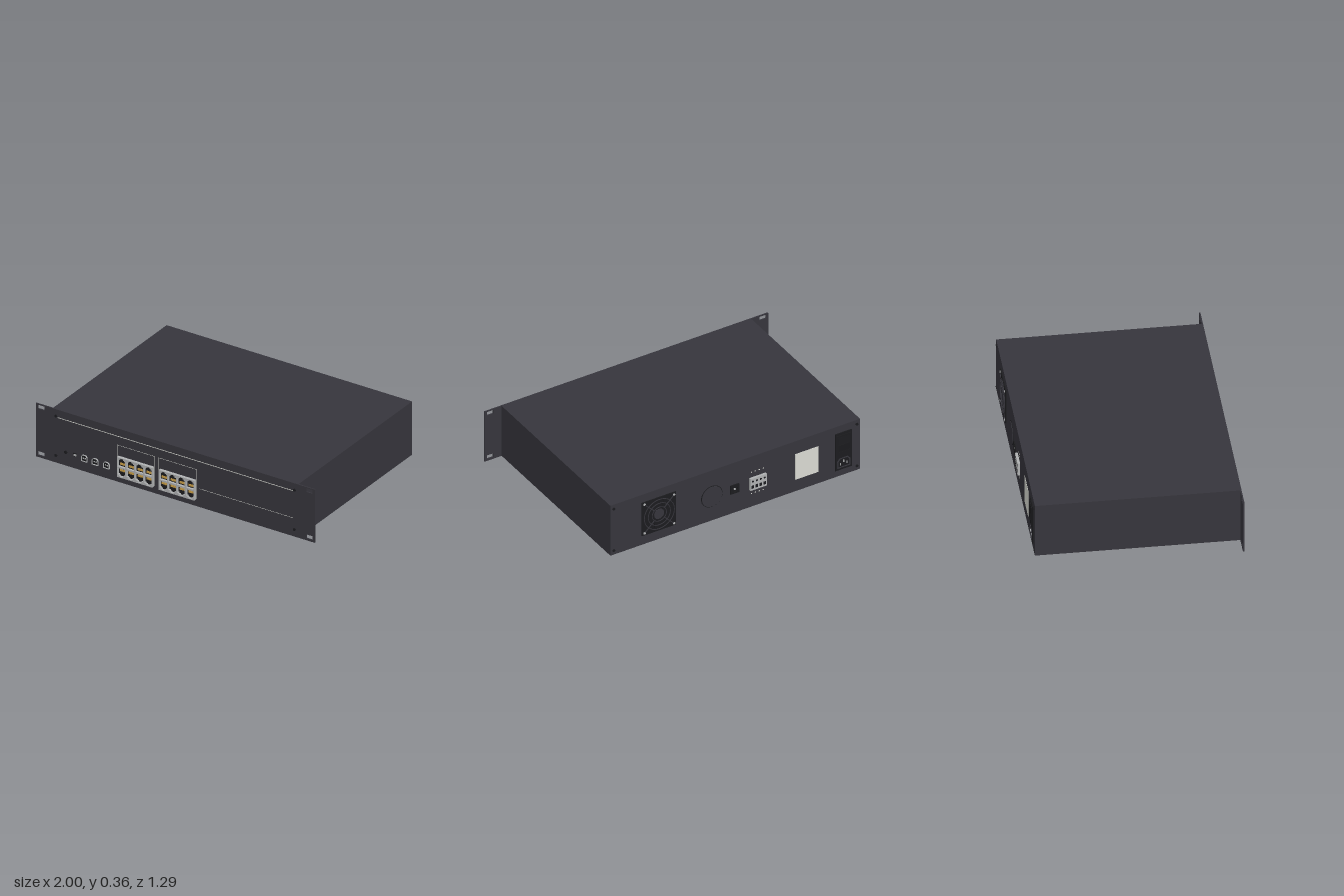
import * as THREE from 'three';

const mat = (name, color) => Object.assign(new THREE.MeshStandardMaterial({ color }), { name });

export function createModel() {
  const root = new THREE.Group();
  root.name = 'rackUnit';
  const housing = mat('charcoal housing', 0x36353c);
  const black = mat('black plastic', 0x1b1b1e);
  const silver = mat('silver metal', 0xb0b2b3);
  const white = mat('white print', 0xd9dad2);
  const gold = mat('gold contacts', 0xc49a45);

  const W = 2, H = 0.363, FRONT = 0.625, BACK = 0.627;

  // Helpers: everything takes a centre x, y and the z where the part starts
  const add = (parent, name, geo, material, x = 0, y = 0, z = 0) => {
    const m = new THREE.Mesh(geo, material);
    m.name = name;
    m.position.set(x, y, z);
    parent.add(m);
    return m;
  };
  const box = (parent, name, m, x, y, z, w, h, d) =>
    add(parent, name, new THREE.BoxGeometry(w, h, d), m, x, y, z + d / 2);
  const disc = (parent, name, m, x, y, z, r, d, seg = 32) =>
    add(parent, name, new THREE.CylinderGeometry(r, r, d, seg).rotateX(Math.PI / 2), m, x, y, z + d / 2);
  const pts = (list) => list.map(([x, y]) => new THREE.Vector2(x, y));
  const rect = (x, y, w, h) => pts([
    [x - w / 2, y - h / 2], [x + w / 2, y - h / 2], [x + w / 2, y + h / 2], [x - w / 2, y + h / 2]]);
  const plate = (parent, name, m, outline, holes, z, depth, x = 0, y = 0) => {
    const s = new THREE.Shape(outline);
    holes.forEach((h) => s.holes.push(new THREE.Path(h)));
    return add(parent, name,
      new THREE.ExtrudeGeometry(s, { depth, bevelEnabled: false, curveSegments: 24 }), m, x, y, z);
  };
  const circle = (r, n = 40) => Array.from({ length: n }, (_, i) =>
    new THREE.Vector2(r * Math.cos(i / n * Math.PI * 2), r * Math.sin(i / n * Math.PI * 2)));

  // Case and front panel with slotted rack ears
  box(root, 'case', housing, 0, H / 2, -BACK, 1.76, H, BACK + FRONT - 0.008);
  const slots = [];
  for (const x of [-0.962, 0.962]) for (const y of [0.027, H - 0.02]) slots.push(rect(x, y, 0.046, 0.026));
  plate(root, 'frontPanel', housing, rect(0, H / 2, W, H), slots, FRONT - 0.008, 0.008);

  const front = new THREE.Group();
  front.name = 'frontDetails';
  front.position.z = FRONT;
  root.add(front);

  // Printed lines
  const line = (x0, y0, x1, y1, t = 0.003) => box(front, 'printedLine', white,
    (x0 + x1) / 2, (y0 + y1) / 2, 0, Math.max(x1 - x0, t), Math.max(y1 - y0, t), 0.001);
  line(-0.845, 0.31, 0.845, 0.31, 0.004);
  line(0.175, 0.125, 0.845, 0.125, 0.002);
  for (const [a, b] of [[-0.417, -0.148], [-0.118, 0.151]]) {
    line(a, 0.25, b, 0.25, 0.002);
    line(a, 0.05, a, 0.25);
    line(b, 0.05, b, 0.25);
  }

  // Panel screws
  for (const x of [-0.855, 0.855]) for (const y of [0.05, 0.318])
    disc(front, 'panelScrew', black, x, y, 0, 0.009, 0.006, 16);

  // Network socket banks, four by two
  const cellW = 0.0635, cellH = 0.0675;
  const socketHole = (cx, cy, s) => pts([
    [-0.027, -0.028], [0.027, -0.028], [0.027, 0.014], [0.019, 0.014], [0.019, 0.021], [0.011, 0.021],
    [0.011, 0.028], [-0.011, 0.028], [-0.011, 0.021], [-0.019, 0.021], [-0.019, 0.014], [-0.027, 0.014],
  ]).map((p) => new THREE.Vector2(cx + p.x, cy + p.y * s));
  for (const bankX of [-0.279, 0.021]) {
    const bank = new THREE.Group();
    bank.name = 'socketBank';
    bank.position.set(bankX, 0.112, 0);
    front.add(bank);
    const holes = [];
    for (let c = 0; c < 4; c++) for (const s of [1, -1]) {
      const x = (c - 1.5) * cellW, y = s * cellH / 2;
      holes.push(socketHole(x, y, s));
      for (let k = 0; k < 8; k++)
        box(bank, 'contact', gold, x + (k - 3.5) * 0.0045, y - s * 0.012, 0.004, 0.002, 0.014, 0.006);
    }
    plate(bank, 'socketShell', silver, rect(0, 0, cellW * 4, cellH * 2), holes, 0, 0.02);
    box(bank, 'socketInterior', black, 0, 0, 0, cellW * 4 - 0.004, cellH * 2 - 0.004, 0.004);
  }

  // Square data ports
  const portOutline = (k) => pts([[-0.022, -0.022], [0.022, -0.022], [0.022, 0.01],
    [0.012, 0.022], [-0.012, 0.022], [-0.022, 0.01]]).map((p) => p.multiplyScalar(k));
  for (const x of [-0.65, -0.572, -0.492]) {
    plate(front, 'dataPortShell', silver, portOutline(1), [portOutline(0.85)], 0, 0.008, x, 0.09);
    plate(front, 'dataPortInterior', black, portOutline(0.86), [], 0, 0.002, x, 0.09);
    for (const dx of [-0.007, 0.007])
      box(front, 'dataPortContact', silver, x + dx, 0.09, 0, 0.006, 0.008, 0.006);
  }

  // Small reset switch and indicator
  box(front, 'indicatorBezel', black, -0.717, 0.093, 0, 0.026, 0.022, 0.003);
  box(front, 'indicator', silver, -0.717, 0.093, 0, 0.018, 0.012, 0.006);
  disc(front, 'resetButton', black, -0.784, 0.093, 0, 0.01, 0.007, 20);

  // Back details are laid out as seen from behind, so x is mirrored
  const back = new THREE.Group();
  back.name = 'backDetails';
  back.rotation.y = Math.PI;
  back.position.z = -BACK;
  root.add(back);
  for (const x of [-0.857, 0.857]) for (const y of [0.03, 0.333])
    disc(back, 'backScrew', black, x, y, 0, 0.009, 0.005, 16);

  // Cooling fan with guard
  const fan = new THREE.Group();
  fan.name = 'fan';
  fan.position.set(-0.54, 0.186, 0);
  back.add(fan);
  plate(fan, 'fanFrame', black, rect(0, 0, 0.24, 0.24), [circle(0.11)], 0, 0.006);
  disc(fan, 'fanOpening', black, 0, 0, 0, 0.112, 0.001, 40);
  disc(fan, 'fanHub', housing, 0, 0, 0.001, 0.035, 0.006);
  for (let i = 0; i < 7; i++) {
    const a = i / 7 * Math.PI * 2;
    const blade = box(fan, 'fanBlade', black, Math.cos(a) * 0.067, Math.sin(a) * 0.067, 0.001, 0.07, 0.035, 0.003);
    blade.rotation.z = a + 0.4;
  }
  for (const r of [0.05, 0.078, 0.106])
    add(fan, 'guardRing', new THREE.TorusGeometry(r, 0.0028, 6, 40), housing, 0, 0, 0.008);
  for (const sx of [-1, 1]) for (const sy of [-1, 1]) {
    const spoke = box(fan, 'guardSpoke', housing, sx * 0.069, sy * 0.069, 0.006, 0.095, 0.005, 0.004);
    spoke.rotation.z = sx * sy * Math.PI / 4;
    disc(fan, 'fanScrew', silver, sx * 0.104, sy * 0.104, 0.006, 0.008, 0.004, 16);
  }

  // Round cover
  disc(back, 'coverRim', black, -0.166, 0.176, 0, 0.075, 0.003, 48);
  disc(back, 'coverDisc', housing, -0.166, 0.176, 0.003, 0.071, 0.003, 48);

  // Power jack
  plate(back, 'jackBody', black, rect(0, 0, 0.06, 0.062), [circle(0.022, 24)], 0, 0.007, -0.006, 0.174);
  disc(back, 'jackWell', black, -0.006, 0.174, 0, 0.023, 0.001, 24);
  disc(back, 'jackPin', silver, -0.006, 0.174, 0, 0.006, 0.007, 16);

  // Terminal block with printed marks
  box(back, 'terminalBlock', silver, 0.156, 0.17, 0, 0.116, 0.085, 0.016);
  for (let c = 0; c < 4; c++) {
    const x = 0.156 + (c - 1.5) * 0.028;
    box(back, 'terminalOpening', black, x, 0.152, 0.016, 0.017, 0.022, 0.001);
    disc(back, 'terminalScrew', black, x, 0.191, 0.016, 0.007, 0.001, 16);
    for (const y of [0.095, 0.25]) box(back, 'terminalMark', white, x, y, 0, 0.009, 0.006, 0.001);
  }

  // Rating plate
  box(back, 'ratingPlate', white, 0.504, 0.177, 0, 0.163, 0.186, 0.002);

  // Mains inlet and rocker switch
  box(back, 'inletFrame', black, 0.76, 0.18, 0, 0.116, 0.265, 0.007);
  plate(back, 'switchBezel', black, rect(0, 0, 0.104, 0.13), [rect(0, 0, 0.082, 0.106)], 0.007, 0.005, 0.76, 0.233);
  for (const s of [-1, 1]) {
    const half = box(back, 'rocker', black, 0.76, 0.233 + s * 0.026, 0.006, 0.08, 0.05, 0.008);
    half.rotation.x = -s * 0.08;
  }
  const inlet = (k) => pts([[-0.046, -0.034], [0.046, -0.034], [0.046, 0.014], [0.03, 0.034],
    [-0.03, 0.034], [-0.046, 0.014]]).map((p) => p.multiplyScalar(k));
  plate(back, 'inletRim', housing, inlet(1), [inlet(0.85)], 0.007, 0.004, 0.76, 0.097);
  for (const [dx, dy] of [[-0.022, -0.008], [0, 0.008], [0.022, -0.008]])
    box(back, 'inletPin', silver, 0.76 + dx, 0.097 + dy, 0.007, 0.006, 0.016, 0.003);

  return root;
}
